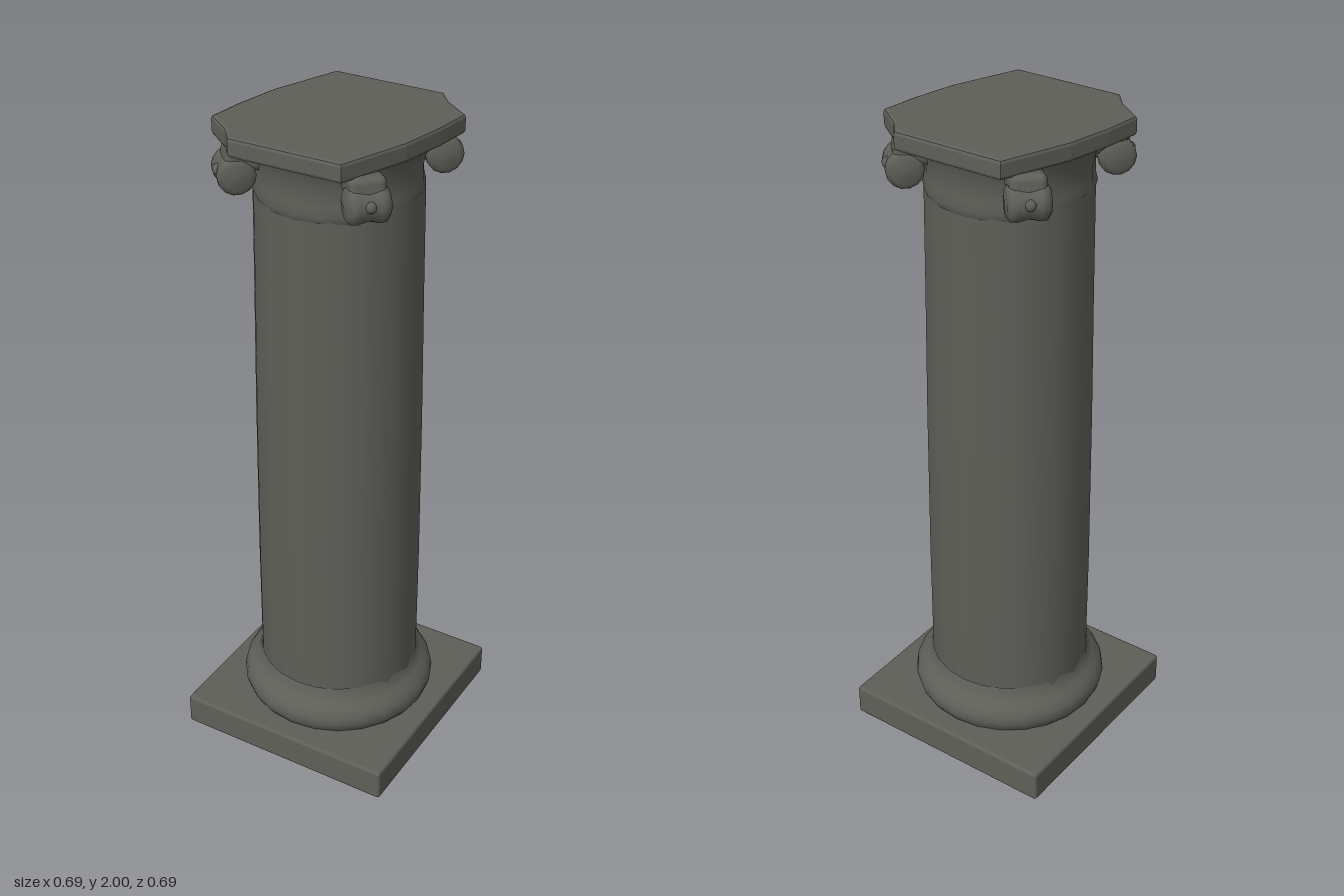
import * as THREE from 'three';
import { RoundedBoxGeometry } from 'three/addons/geometries/RoundedBoxGeometry.js';

const stone = new THREE.MeshStandardMaterial({ color: 0x5e5f58 });
stone.name = 'dark stone';

function add(parent, name, geometry, x = 0, y = 0, z = 0) {
  const mesh = new THREE.Mesh(geometry, stone);
  mesh.name = name;
  mesh.position.set(x, y, z);
  parent.add(mesh);
  return mesh;
}

const lathe = (points, sides) =>
  new THREE.LatheGeometry(points.map(([r, y]) => new THREE.Vector2(r, y)), sides);

// Curled scroll: faces +z, lying on a horizontal axis with a pinched waist
function makeVolute() {
  const volute = new THREE.Group();
  volute.name = 'volute';
  const curl = add(volute, 'curl', lathe([
    [0, -0.06], [0.036, -0.058], [0.052, -0.046], [0.053, -0.03], [0.046, 0],
    [0.053, 0.03], [0.052, 0.046], [0.036, 0.058], [0, 0.06],
  ], 14), 0, 1.873, 0.284);
  curl.rotation.z = Math.PI / 2;
  add(volute, 'curlEye', new THREE.SphereGeometry(0.016, 10, 8), 0, 1.88, 0.326);
  // Stalk joining the curl to the bell under the slab
  const stalk = add(volute, 'stalk', new RoundedBoxGeometry(0.1, 0.06, 0.12, 2, 0.02), 0, 1.915, 0.252);
  stalk.rotation.x = -0.15;
  return volute;
}

export function createModel() {
  const column = new THREE.Group();
  column.name = 'column';

  // Square foot
  add(column, 'plinth', new RoundedBoxGeometry(0.69, 0.1, 0.692, 2, 0.01), 0, 0.05, 0);

  // Round moulding flaring out of the shaft
  add(column, 'baseMoulding', lathe([
    [0.278, 0.095], [0.29, 0.112], [0.297, 0.135], [0.293, 0.158], [0.28, 0.178],
    [0.262, 0.195], [0.25, 0.21], [0.243, 0.235],
  ], 24));

  // Gently tapering shaft, slightly wider in x
  const shaft = add(column, 'shaft', lathe([
    [0.24, 0.18], [0.241, 0.6], [0.238, 1.1], [0.233, 1.5], [0.23, 1.82],
  ], 16));
  shaft.scale.set(1.03, 1, 0.985);

  // Bell of the capital
  add(column, 'capitalBell', lathe([
    [0.228, 1.79], [0.236, 1.81], [0.23, 1.835], [0.229, 1.88], [0.238, 1.92], [0.25, 1.95],
  ], 20));

  // Four corner scrolls
  for (let i = 0; i < 4; i++) {
    const volute = makeVolute();
    volute.rotation.y = Math.PI / 4 + i * Math.PI / 2;
    column.add(volute);
  }

  // Slightly skewed top slab with clipped corners; half the outline, then its opposite
  const half = [[-0.162, -0.264], [0.16, -0.27], [0.198, -0.225], [0.275, -0.168], [0.262, -0.06], [0.235, 0.07]];
  const outline = [...half, ...half.map(([x, z]) => [-x, -z])]
    .map(([x, z]) => new THREE.Vector2(x, z));
  const slab = new THREE.ExtrudeGeometry(new THREE.Shape(outline), {
    depth: 0.036, bevelEnabled: true, bevelThickness: 0.01, bevelSize: 0.01, bevelSegments: 2,
  });
  slab.rotateX(Math.PI / 2);
  add(column, 'topSlab', slab, 0, 1.99, 0);

  return column;
}
